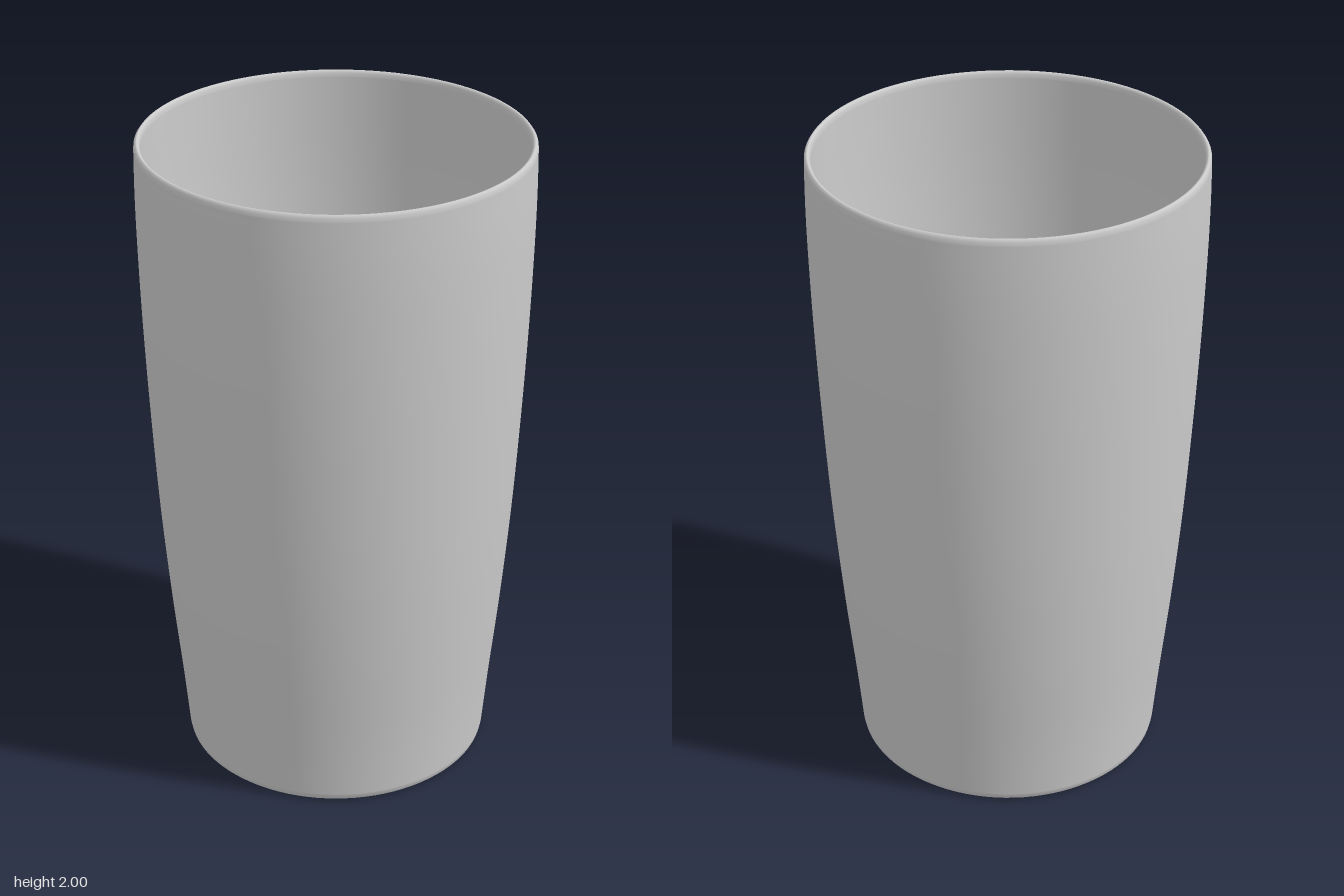
import * as THREE from 'three';

const SEGMENTS = 96;
const v = (x, y) => new THREE.Vector2(x, y);
const curve = (pts, n) => new THREE.SplineCurve(pts).getPoints(n);

export function createModel() {
  const group = new THREE.Group();
  group.name = 'tumbler';
  const material = new THREE.MeshStandardMaterial({ color: 0xcccccc });

  // Revolves a profile; separate parts keep the edges between them crisp
  const addLathe = (name, points) => {
    const mesh = new THREE.Mesh(new THREE.LatheGeometry(points, SEGMENTS), material);
    mesh.name = name;
    group.add(mesh);
  };

  // Underside with a small rounded foot
  addLathe('base', [v(0, 0), v(0.455, 0)]);
  addLathe('footEdge', [v(0.455, 0), v(0.465, 0.003), v(0.472, 0.01), v(0.475, 0.025)]);

  // Outer wall, flaring and then running almost straight to the top
  addLathe('outerWall', curve([
    v(0.475, 0.025), v(0.492, 0.22), v(0.519, 0.5), v(0.544, 0.82),
    v(0.562, 1.15), v(0.574, 1.45), v(0.58, 1.7), v(0.581, 1.85), v(0.579, 1.98),
  ], 40));

  // Rounded lip
  addLathe('rim', [
    v(0.579, 1.98), v(0.578, 1.992), v(0.573, 1.999), v(0.569, 2),
    v(0.565, 1.998), v(0.561, 1.992), v(0.56, 1.98),
  ]);

  // Inner wall, thickening towards the bottom
  addLathe('innerWall', curve([
    v(0.56, 1.98), v(0.557, 1.7), v(0.549, 1.45), v(0.535, 1.15),
    v(0.515, 0.82), v(0.483, 0.5), v(0.45, 0.25), v(0.425, 0.08),
  ], 40));

  // Inside floor
  addLathe('floor', [v(0.425, 0.08), v(0, 0.08)]);

  return group;
}
